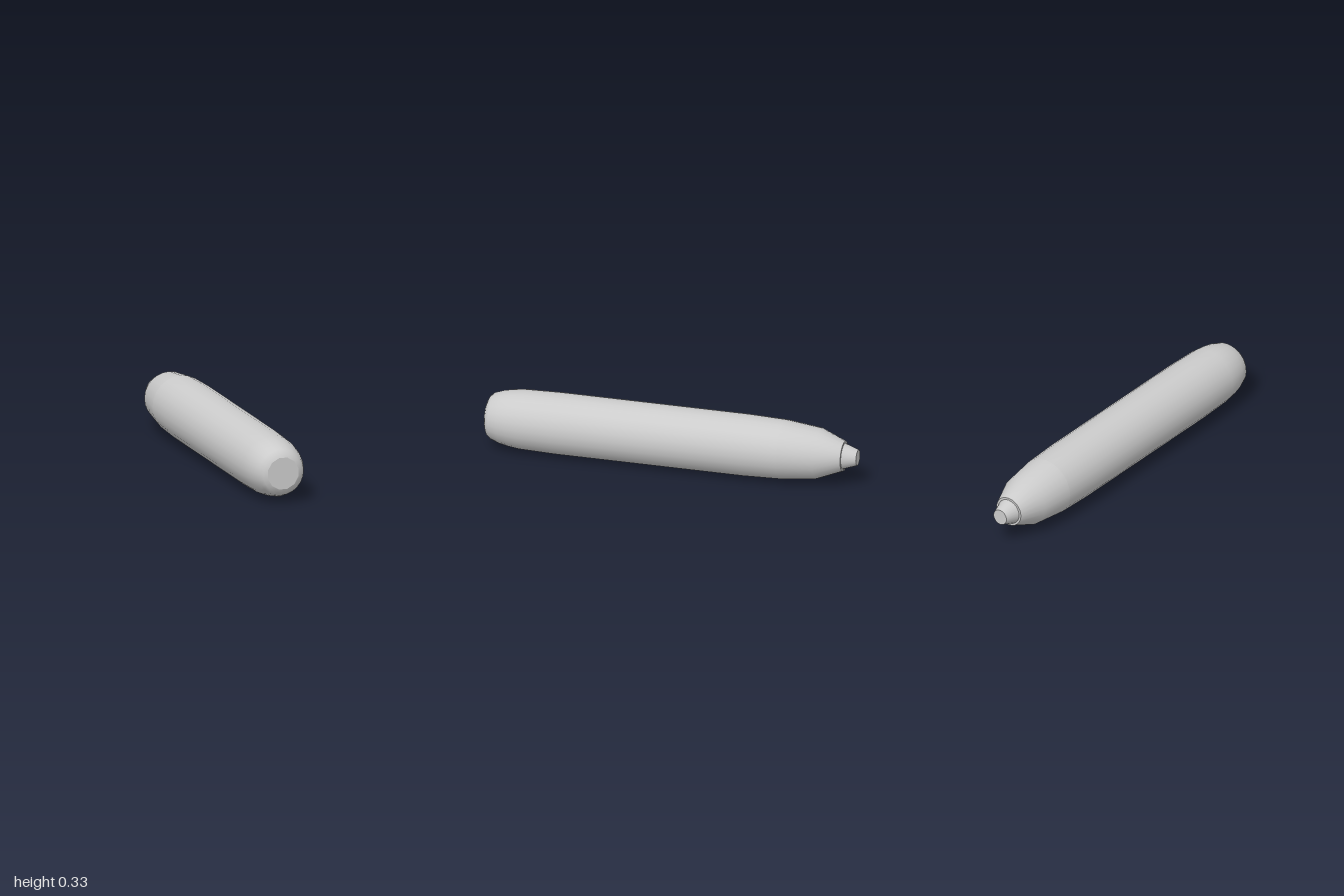
import * as THREE from 'three';

const SIDES = 24;
const AXIS_Y = 0.165;
const material = new THREE.MeshStandardMaterial({ color: 0xcccccc });

// Profiles are [z, radius], listed from back to front.
const TAIL = [[-0.925, 0.08], [-0.79, 0.135], [-0.6, 0.157]];
const BODY = [[-0.6, 0.157], [-0.4, 0.163], [0.62, 0.163], [0.81, 0.158],
  [0.87, 0.151], [0.92, 0.141], [0.97, 0.124], [0.99, 0.107], [1, 0.087]];
const NOZZLE = [[-1, 0.042], [-0.925, 0.068]];

// Turned surface lying along z
function turned(profile) {
  const geo = new THREE.LatheGeometry(profile.map(([z, r]) => new THREE.Vector2(r, z)), SIDES);
  return geo.rotateX(Math.PI / 2);
}

export function createModel() {
  const group = new THREE.Group();
  const add = (name, geo, z = 0) => {
    const mesh = new THREE.Mesh(geo, material);
    mesh.name = name;
    mesh.position.set(0, AXIS_Y, z);
    group.add(mesh);
    return mesh;
  };

  // Main barrel; its front rim narrows from 24 sides to 12
  const body = turned(BODY);
  const pos = body.attributes.position;
  const rows = BODY.length;
  const k = Math.cos(Math.PI / 12);
  for (let i = 0; i <= SIDES; i += 2) {
    const v = i * rows + rows - 1;
    pos.setXY(v, pos.getX(v) * k, pos.getY(v) * k);
  }
  add('body', body);
  add('noseCap', new THREE.CircleGeometry(0.087, 12, Math.PI / 12), 1);

  // Tapered tail, closed by a flat collar
  add('tail', turned(TAIL));
  add('tailCollar', new THREE.CircleGeometry(0.08, SIDES).rotateY(Math.PI), -0.925);

  // Small nozzle at the back
  add('nozzle', turned(NOZZLE));
  add('nozzleCap', new THREE.CircleGeometry(0.042, SIDES).rotateY(Math.PI), -1);

  // Thin seam bead along the underside, mostly sunk into the surface
  const path = new THREE.CurvePath();
  const line = [...TAIL, ...BODY.slice(1, -2)].map(([z, r]) => new THREE.Vector3(0, 0.007 - r, z));
  for (let i = 1; i < line.length; i++) path.add(new THREE.LineCurve3(line[i - 1], line[i]));
  const seam = add('undersideSeam', new THREE.TubeGeometry(path, 80, 0.009, 8, false));
  seam.material = material.clone();
  seam.material.side = THREE.DoubleSide;

  return group;
}
